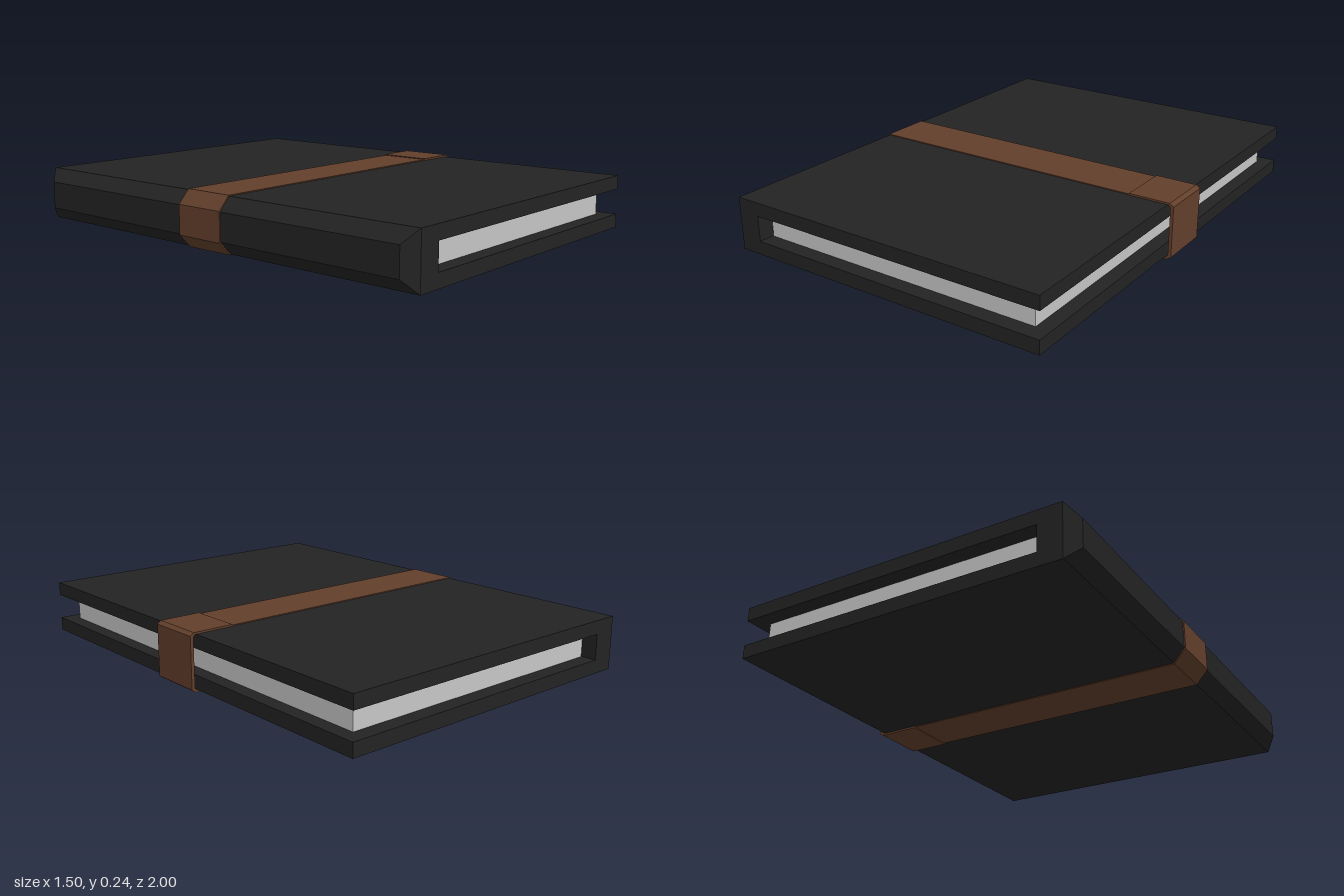
import * as THREE from 'three';

const mat = (name, color) => {
  const m = new THREE.MeshStandardMaterial({ color });
  m.name = name;
  return m;
};

export function createModel() {
  const cover = mat('black cover', 0x232323);
  const paper = mat('paper', 0xc6c6c6);
  const leather = mat('brown leather', 0x623f2b);
  const book = new THREE.Group();
  book.name = 'notebook';

  const add = (name, geo, material) => {
    const mesh = new THREE.Mesh(geo, material);
    mesh.name = name;
    book.add(mesh);
    return mesh;
  };
  // box from its limits in x, y and half depth in z
  const box = (name, x0, x1, y0, y1, hz, material) => {
    const mesh = add(name, new THREE.BoxGeometry(x1 - x0, y1 - y0, hz * 2), material);
    mesh.position.set((x0 + x1) / 2, (y0 + y1) / 2, 0);
  };
  // profile in x, y extruded across z
  const band = (name, points, hz) => {
    const shape = new THREE.Shape(points.map(p => new THREE.Vector2(...p)));
    const geo = new THREE.ExtrudeGeometry(shape, { depth: hz * 2, bevelEnabled: false });
    add(name, geo.translate(0, 0, -hz), leather);
  };

  // covers and page block
  box('bottomCover', -0.6, 0.725, 0.008, 0.066, 1, cover);
  box('topCover', -0.6, 0.725, 0.174, 0.232, 1, cover);
  box('pages', -0.595, 0.665, 0.066, 0.174, 0.935, paper);

  // spine block, with the outer face bevelled on all four edges
  box('spine', -0.7, -0.6, 0.008, 0.232, 1, cover);
  const edge = new THREE.BoxGeometry(0.048, 0.224, 2);
  const pos = edge.attributes.position;
  for (let i = 0; i < pos.count; i++) {
    if (pos.getX(i) < 0) {
      pos.setY(i, Math.sign(pos.getY(i)) * 0.058);
      pos.setZ(i, Math.sign(pos.getZ(i)) * 0.95);
    }
  }
  const flat = edge.toNonIndexed();
  flat.computeVertexNormals();
  add('spineBevel', flat, cover).position.set(-0.724, 0.12, 0);

  // strap profiles are mirrored about the middle height
  const mirrored = half => [...half, ...half.slice().reverse().map(([x, y]) => [x, 0.24 - y])];
  // strap around the covers and spine
  band('strap', [
    ...mirrored([[0.6, 0.236], [-0.702, 0.236], [-0.753, 0.181]]),
    ...mirrored([[0.6, 0.008], [-0.7, 0.008], [-0.748, 0.062]]),
  ], 0.113);
  // closing flap around the open edge, clear of the pages
  band('strapFlap', [
    ...mirrored([[0.555, 0.24], [0.735, 0.24], [0.752, 0.228]]),
    ...mirrored([[0.555, 0.008], [0.728, 0.008], [0.738, 0.018]]),
  ], 0.116);

  return book;
}
